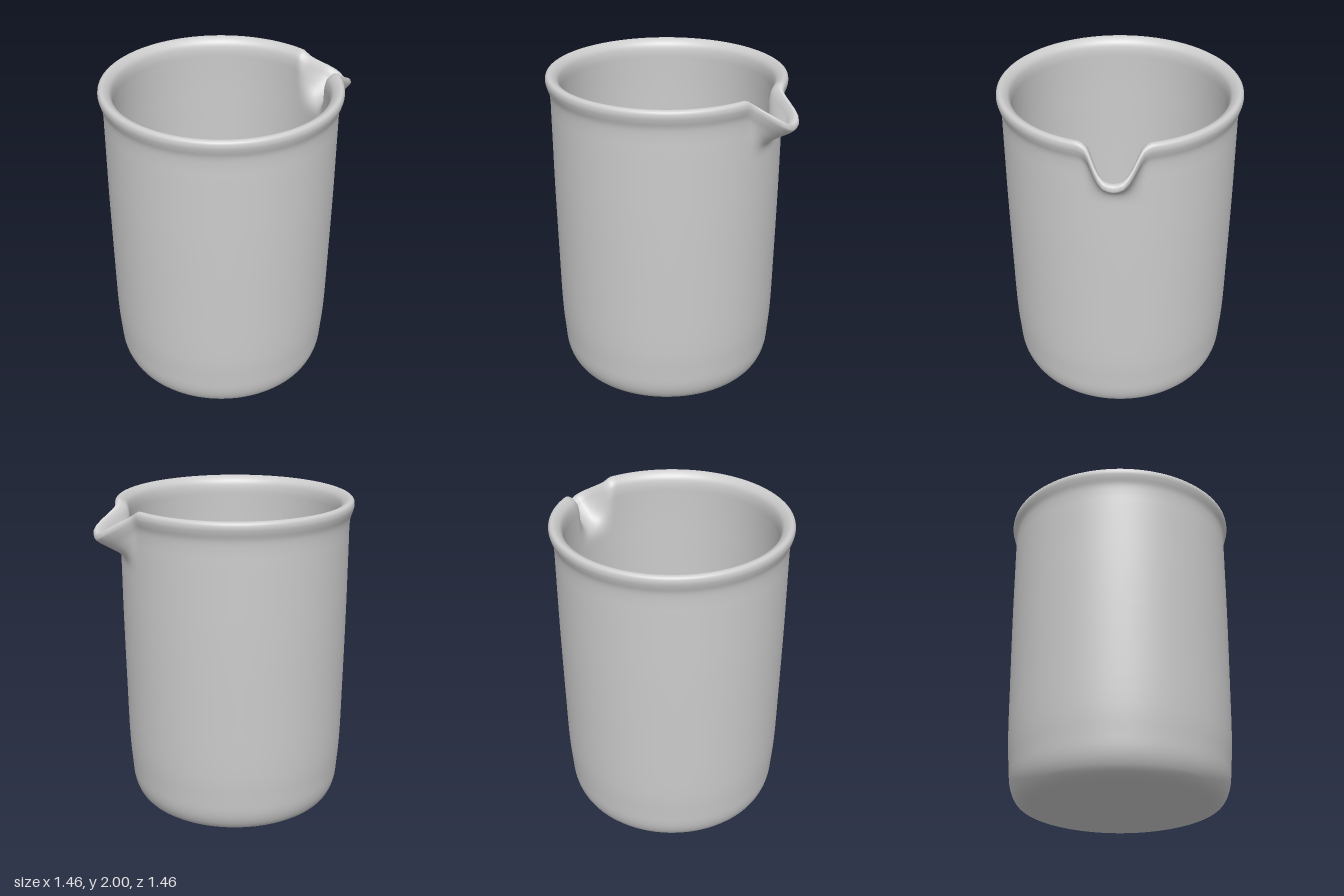
import * as THREE from 'three';
import { mergeVertices } from 'three/addons/utils/BufferGeometryUtils.js';

const { smoothstep, clamp, radToDeg, degToRad } = THREE.MathUtils;

// Cross-section [radius, height]: under the base, up the outside, over the rim, down inside
const profile = [
  [0, 0.003], [0.25, 0.003], [0.45, 0.005], [0.55, 0.017], [0.625, 0.05], [0.667, 0.13],
  [0.683, 0.27], [0.693, 0.42], [0.699, 0.8], [0.704, 1.3], [0.704, 1.55], [0.704, 1.65],
  [0.704, 1.75], [0.704, 1.83], [0.709, 1.89], [0.724, 1.935], [0.73, 1.965], [0.724, 1.99],
  [0.705, 2.0], [0.68, 1.99], [0.656, 1.965], [0.645, 1.92], [0.645, 1.85], [0.647, 1.75],
  [0.648, 1.65], [0.648, 1.55], [0.648, 1.3], [0.644, 0.8], [0.637, 0.42], [0.625, 0.2],
  [0.6, 0.11], [0.54, 0.07], [0.45, 0.06], [0.25, 0.06], [0, 0.06],
];
const SPOUT_ANGLE = 48.7; // degrees from +x towards the back

// Pull the wall outward and dip the rim around the spout direction
function formSpout(geometry) {
  const pos = geometry.attributes.position;
  for (let i = 0; i < pos.count; i++) {
    const x = pos.getX(i), y = pos.getY(i), z = pos.getZ(i);
    if (y < 1.62) continue;
    const off = Math.abs(radToDeg(Math.atan2(-z, x)) - SPOUT_ANGLE);
    const t = clamp((y - 1.62) / 0.34, 0, 1);
    const r = Math.hypot(x, z);
    const scale = (r + 0.157 * t * t * (1 - smoothstep(off, 3, 14))) / r;
    const dip = 0.15 * smoothstep(t, 0, 1) * (1 - smoothstep(off, 0, 17));
    pos.setXYZ(i, x * scale, y - dip, z * scale);
  }
}

export function createModel() {
  const group = new THREE.Group();
  group.name = 'beaker';

  const curve = new THREE.CatmullRomCurve3(
    profile.map(([r, y]) => new THREE.Vector3(r, y, 0)), false, 'centripetal');
  const points = curve.getPoints((profile.length - 1) * 4)
    .map(p => new THREE.Vector2(Math.max(p.x, 0), Math.max(p.y, 0)));

  // Thin-walled vessel with a rolled rim and pouring spout
  let geometry = new THREE.LatheGeometry(points, 200, degToRad(-90));
  formSpout(geometry);
  geometry.deleteAttribute('uv');
  geometry.deleteAttribute('normal');
  geometry = mergeVertices(geometry, 1e-5);
  geometry.computeVertexNormals();

  const vessel = new THREE.Mesh(geometry, new THREE.MeshStandardMaterial({ color: 0xcccccc }));
  vessel.name = 'vessel';
  group.add(vessel);
  return group;
}
